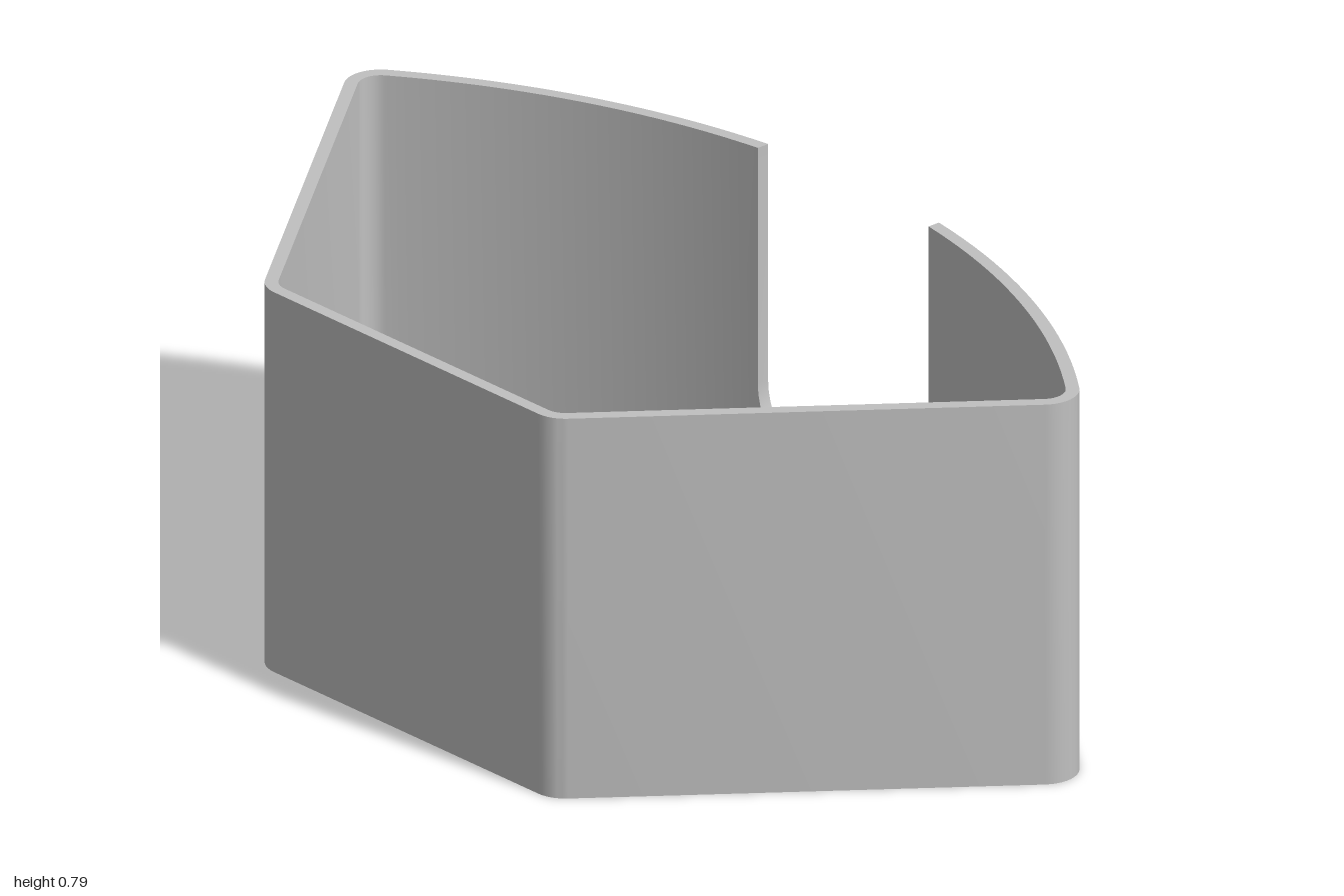
import * as THREE from 'three';
import { toCreasedNormals } from 'three/addons/utils/BufferGeometryUtils.js';

const HEIGHT = 0.79, FLOOR = 0.03, WALL = 0.026;
const FRONT_R = 1.62, FRONT_X = -1.04;          // large curved face
const CORNER_R = 0.07;
const TIP = [0.2, 0.93], REAR = [-0.51, 0.371]; // corner centres on the +z half
const SLOT_HALF = 0.24, SLOT_BOTTOM = 0.13, SLOT_R = 0.17;

// Half of the slot edge, from its top corner to the middle of its base: [z, y]
function slotProfile() {
  const pts = [[SLOT_HALF, HEIGHT]];
  for (let i = 0; i <= 12; i++) {
    const a = (i / 12) * Math.PI / 2;
    pts.push([SLOT_HALF - SLOT_R + SLOT_R * Math.cos(a), SLOT_BOTTOM + SLOT_R - SLOT_R * Math.sin(a)]);
  }
  pts.push([0, SLOT_BOTTOM]);
  return pts;
}

// Closed plan outline, moved inward by inset; each point holds x, z and its rim height
function outline(inset) {
  const R = FRONT_R - inset, r = CORNER_R - inset;
  const half = [];
  const arc = (cx, cz, rad, from, to, n, first) => {
    for (let i = first; i <= n; i++) {
      const a = from + (to - from) * i / n;
      half.push([cx + rad * Math.cos(a), cz + rad * Math.sin(a), HEIGHT]);
    }
  };
  for (const [z, y] of slotProfile().reverse())
    half.push([FRONT_X + Math.sqrt(R * R - z * z), z, y]);
  const tipAngle = Math.atan2(TIP[1], TIP[0] - FRONT_X);
  const sideAngle = Math.atan2(TIP[1] - REAR[1], TIP[0] - REAR[0]) + Math.PI / 2;
  arc(FRONT_X, 0, R, Math.asin(SLOT_HALF / R), tipAngle, 20, 1);
  arc(...TIP, r, tipAngle, sideAngle, 10, 1);
  arc(...REAR, r, sideAngle, Math.PI, 6, 0);
  const mirrored = half.slice(1).reverse().map(([x, z, y]) => [x, -z, y]);
  return [...half, ...mirrored];
}

// Skin successive closed rings of points, dropping empty triangles
function skin(rings) {
  const pos = [], tri = new THREE.Triangle();
  const add = (a, b, c) => {
    tri.set(a, b, c);
    if (tri.getArea() > 1e-9) for (const p of [a, b, c]) pos.push(p.x, p.y, p.z);
  };
  for (let k = 0; k + 1 < rings.length; k++) {
    const A = rings[k], B = rings[k + 1];
    for (let i = 0; i < A.length; i++) {
      const j = (i + 1) % A.length;
      add(A[i], B[i], B[j]);
      add(A[i], B[j], A[j]);
    }
  }
  const geo = new THREE.BufferGeometry();
  geo.setAttribute('position', new THREE.Float32BufferAttribute(pos, 3));
  return toCreasedNormals(geo, 0.5);
}

export function createModel() {
  const group = new THREE.Group();
  group.name = 'openBin';
  const grey = new THREE.MeshStandardMaterial({ color: 0xc0c0c0 });
  grey.name = 'lightGrey';

  const outer = outline(0), inner = outline(WALL);
  const rim = pts => pts.map(([x, z, y]) => new THREE.Vector3(x, y, z));
  const level = (pts, y) => pts.map(([x, z]) => new THREE.Vector3(x, y, z));
  const centre = y => outer.map(() => new THREE.Vector3(0, y, 0));
  const add = (name, rings) => {
    const mesh = new THREE.Mesh(skin(rings), grey);
    mesh.name = name;
    group.add(mesh);
  };

  // Wall with the rounded slot cut down from its rim
  add('slottedWall', [level(outer, 0), rim(outer), rim(inner), level(inner, FLOOR)]);
  // Inside floor and underside
  add('insideFloor', [level(inner, FLOOR), centre(FLOOR)]);
  add('underside', [centre(0), level(outer, 0)]);
  return group;
}
